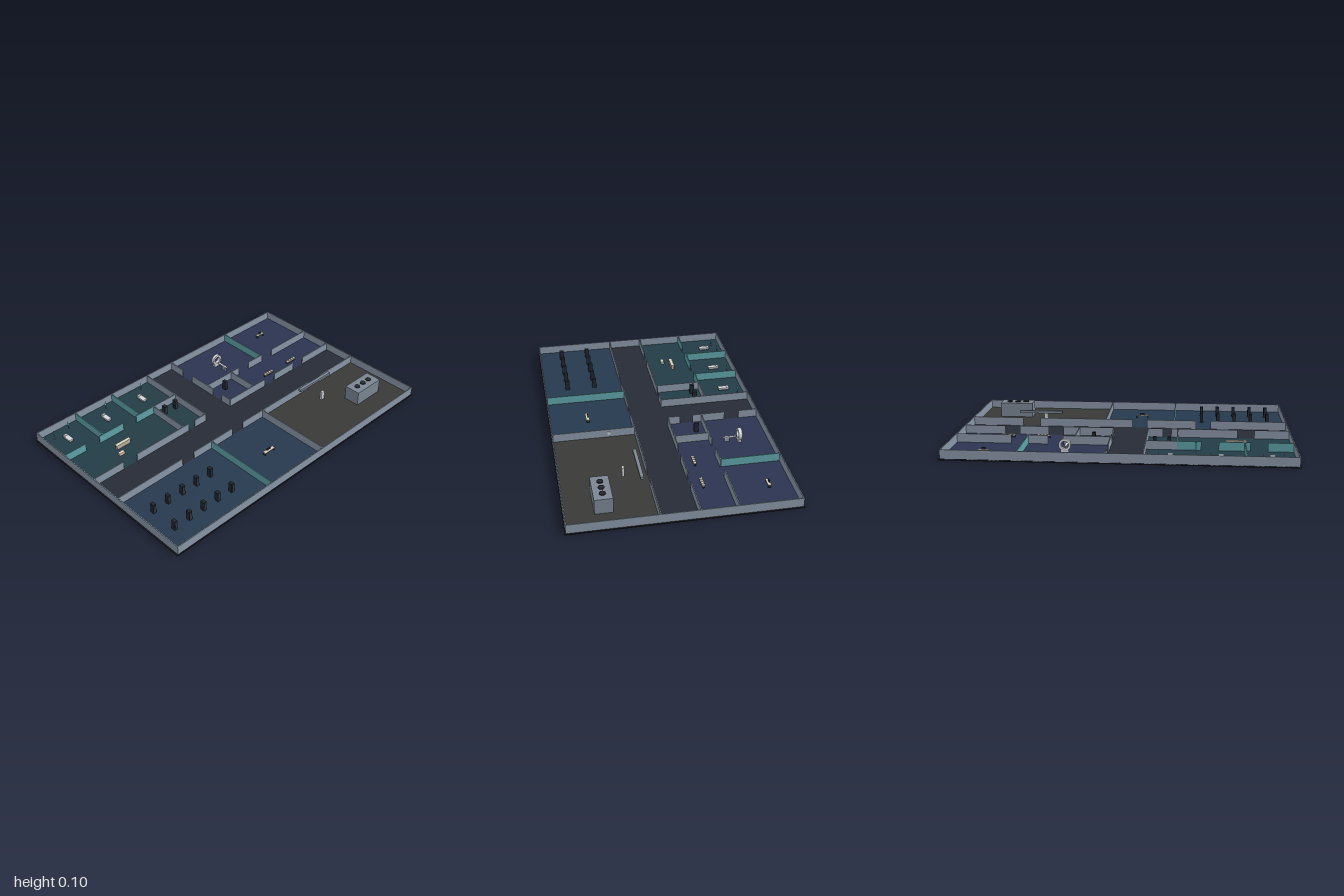
import * as THREE from 'three';

export function createModel() {
  const root = new THREE.Group();
  const mats = {};
  const mat = (c) => (mats[c] ??= new THREE.MeshStandardMaterial({ color: c }));
  const FLOOR = 0.008, TOP = 0.06, T = 0.006;
  const WALL = 0x8a97a8, TEAL = 0x5fa3a8, DARK = 0x22262d, CREAM = 0xd8d0bc, WHITE = 0xd4d8dc;

  const add = (name, geo, color, x, y, z, parent = root) => {
    const m = new THREE.Mesh(geo, mat(color));
    m.name = name;
    m.position.set(x, y, z);
    parent.add(m);
    return m;
  };
  // box given by its bounds
  const box = (name, x0, x1, y0, y1, z0, z1, color, parent) =>
    add(name, new THREE.BoxGeometry(x1 - x0, y1 - y0, z1 - z0), color,
      (x0 + x1) / 2, (y0 + y1) / 2, (z0 + z1) / 2, parent);
  // box standing at y0, centred on x and z
  const block = (name, x, z, w, d, y0, y1, color, parent) =>
    box(name, x - w / 2, x + w / 2, y0, y1, z - d / 2, z + d / 2, color, parent);

  // base slab and coloured room floors
  box('baseSlab', -1, 1, 0, 0.005, -0.645, 0.645, 0x1c1d24);
  const floors = [
    ['corridorFloor', -0.99, 0.99, -0.075, 0.14, 0x262b36],
    ['crossCorridorFloor', -0.14, 0.07, -0.64, -0.075, 0x262b36],
    ['wardFloor', -0.99, -0.14, -0.64, -0.075, 0x233c46],
    ['imagingFloor', 0.07, 0.99, -0.64, -0.075, 0x2b3450],
    ['rackRoomFloor', -0.99, -0.29, 0.14, 0.64, 0x26394e],
    ['officeFloor', -0.29, 0.14, 0.14, 0.64, 0x26394e],
    ['plantFloor', 0.14, 0.99, 0.14, 0.64, 0x393937],
  ];
  for (const [n, x0, x1, z0, z1, c] of floors) box(n, x0, x1, 0.005, FLOOR, z0, z1, c);

  // walls with full height door gaps
  const segments = (a, b, gaps, make) => {
    let s = a;
    for (const [g0, g1] of [...gaps, [b, b]]) {
      if (g0 > s) make(s, g0);
      s = g1;
    }
  };
  const wallX = (name, z, a, b, color = WALL, gaps = []) => segments(a, b, gaps, (s, e) =>
    box(name, s, e, 0.005, TOP, z - T / 2, z + T / 2, color));
  const wallZ = (name, x, a, b, color = WALL, gaps = []) => segments(a, b, gaps, (s, e) =>
    box(name, x - T / 2, x + T / 2, 0.005, TOP, s, e, color));

  for (const s of [-1, 1]) {
    wallX('outerWall', s * 0.637, -0.993, 0.993);
    wallZ('outerWall', s * 0.99, -0.637, 0.637);
  }
  wallX('corridorWall', -0.075, -0.99, -0.14, WALL, [[-0.78, -0.68], [-0.28, -0.23]]);
  wallX('corridorWall', -0.075, 0.07, 0.99, WALL, [[0.38, 0.47], [0.65, 0.74]]);
  wallX('corridorWall', 0.14, -0.99, 0.99, WALL, [[-0.52, -0.43], [-0.12, -0.03], [0.56, 0.67]]);
  wallZ('crossCorridorWall', -0.14, -0.64, -0.075);
  wallZ('crossCorridorWall', 0.07, -0.64, -0.075, WALL, [[-0.52, -0.43], [-0.23, -0.15]]);
  wallX('wardFrontWall', -0.355, -0.99, -0.32, TEAL, [[-0.84, -0.74], [-0.56, -0.46]]);
  wallX('wardFrontWall', -0.355, -0.32, -0.14);
  wallZ('wardPartition', -0.71, -0.64, -0.355, TEAL);
  wallZ('wardPartition', -0.43, -0.64, -0.355, TEAL);
  wallZ('storeWall', -0.32, -0.355, -0.075);
  wallX('imagingFrontWall', -0.285, 0.07, 0.99, WALL, [[0.35, 0.44], [0.57, 0.66]]);
  wallZ('imagingPartition', 0.56, -0.64, -0.285, TEAL);
  wallZ('closetWall', 0.28, -0.285, -0.075);
  wallZ('officePartition', -0.29, 0.14, 0.64, TEAL);
  wallZ('plantPartition', 0.14, 0.14, 0.64);

  // ward beds with pillows and bedside monitors
  const pole = new THREE.CylinderGeometry(0.0015, 0.0015, 0.055, 8);
  const bulb = new THREE.SphereGeometry(0.007, 12, 8);
  for (const x of [-0.855, -0.57, -0.286]) {
    const bed = new THREE.Group();
    bed.name = 'bed';
    root.add(bed);
    block('bedFrame', x, -0.515, 0.026, 0.066, FLOOR, 0.016, 0x6d7580, bed);
    block('mattress', x, -0.515, 0.03, 0.07, 0.016, 0.024, WHITE, bed);
    block('pillow', x, -0.54, 0.022, 0.014, 0.024, 0.028, 0xe4e8ea, bed);
    add('monitorPole', pole, 0x8a97a8, x + 0.06, 0.0355, -0.595);
    add('monitorLight', bulb, 0x2fb0bc, x + 0.06, 0.042, -0.595);
  }
  add('dripStand', pole, 0x9aa4ae, -0.91, 0.0355, -0.58);
  add('dripBase', new THREE.CylinderGeometry(0.008, 0.008, 0.003, 12), 0x55606c, -0.91, 0.0095, -0.58);

  // desks with a dark monitor
  const desk = (x, z, w, d) => {
    const g = new THREE.Group();
    g.name = 'desk';
    root.add(g);
    for (const s of [-1, 1]) block('deskLeg', x + s * (w / 2 - 0.004), z, 0.005, d * 0.8, FLOOR, 0.024, DARK, g);
    block('deskTop', x, z, w, d, 0.024, 0.028, CREAM, g);
    block('monitor', x, z - d * 0.15, w * 0.35, 0.004, 0.028, 0.042, DARK, g);
  };
  desk(0.775, -0.505, 0.06, 0.02);
  desk(-0.075, 0.405, 0.08, 0.022);
  block('receptionCounter', -0.655, -0.24, 0.1, 0.018, FLOOR, 0.034, 0xb9ae9a);
  block('counterTop', -0.655, -0.24, 0.104, 0.022, 0.034, 0.038, CREAM);
  block('sideTable', -0.71, -0.185, 0.038, 0.02, FLOOR, 0.025, CREAM);

  // benches with four seats
  for (const x of [0.49, 0.705]) {
    block('benchRail', x, -0.145, 0.08, 0.008, FLOOR, 0.02, DARK);
    for (let i = 0; i < 4; i++) block('benchSeat', x - 0.031 + i * 0.0207, -0.145, 0.016, 0.018, 0.02, 0.026, CREAM);
  }

  // equipment racks
  const rack = (x, z) => {
    block('rack', x, z, 0.02, 0.026, FLOOR, 0.07, DARK);
    block('rackPanel', x, z + 0.0135, 0.014, 0.002, 0.016, 0.064, 0x30363f);
  };
  for (let i = 0; i < 5; i++) for (const z of [0.315, 0.49]) rack(-0.885 + i * 0.105, z);
  for (const x of [-0.275, -0.19]) rack(x, -0.3);
  rack(0.175, -0.23);

  // ring scanner with sliding table
  const ring = new THREE.Shape().absarc(0, 0, 0.036, 0, Math.PI * 2);
  ring.holes.push(new THREE.Path().absarc(0, 0, 0.021, 0, Math.PI * 2, true));
  add('scannerRing', new THREE.ExtrudeGeometry(ring, {
    depth: 0.016, bevelSize: 0.003, bevelThickness: 0.003, bevelOffset: -0.003, bevelSegments: 2, curveSegments: 24,
  }), WHITE, 0.315, 0.054, -0.468);
  block('scannerFoot', 0.315, -0.46, 0.046, 0.02, FLOOR, 0.024, WHITE);
  block('scannerTable', 0.315, -0.4, 0.014, 0.08, 0.034, 0.04, WHITE);
  block('tablePedestal', 0.315, -0.385, 0.01, 0.03, FLOOR, 0.034, 0x8a97a8);

  // generator with three roof fans
  box('generator', 0.655, 0.865, FLOOR, 0.1, 0.372, 0.475, 0x7c8794);
  for (const x of [0.705, 0.76, 0.813])
    add('generatorFan', new THREE.CylinderGeometry(0.018, 0.018, 0.005, 20), DARK, x, 0.1025, 0.423);

  // overhead duct, pump and wall panel
  box('overheadDuct', 0.424, 0.7, 0.08, 0.096, 0.18, 0.2, 0x7c8794);
  block('pump', 0.545, 0.275, 0.026, 0.014, FLOOR, 0.064, WHITE);
  block('wallPanel', 0.147, 0.3, 0.006, 0.016, 0.03, 0.046, WHITE);

  return root;
}
